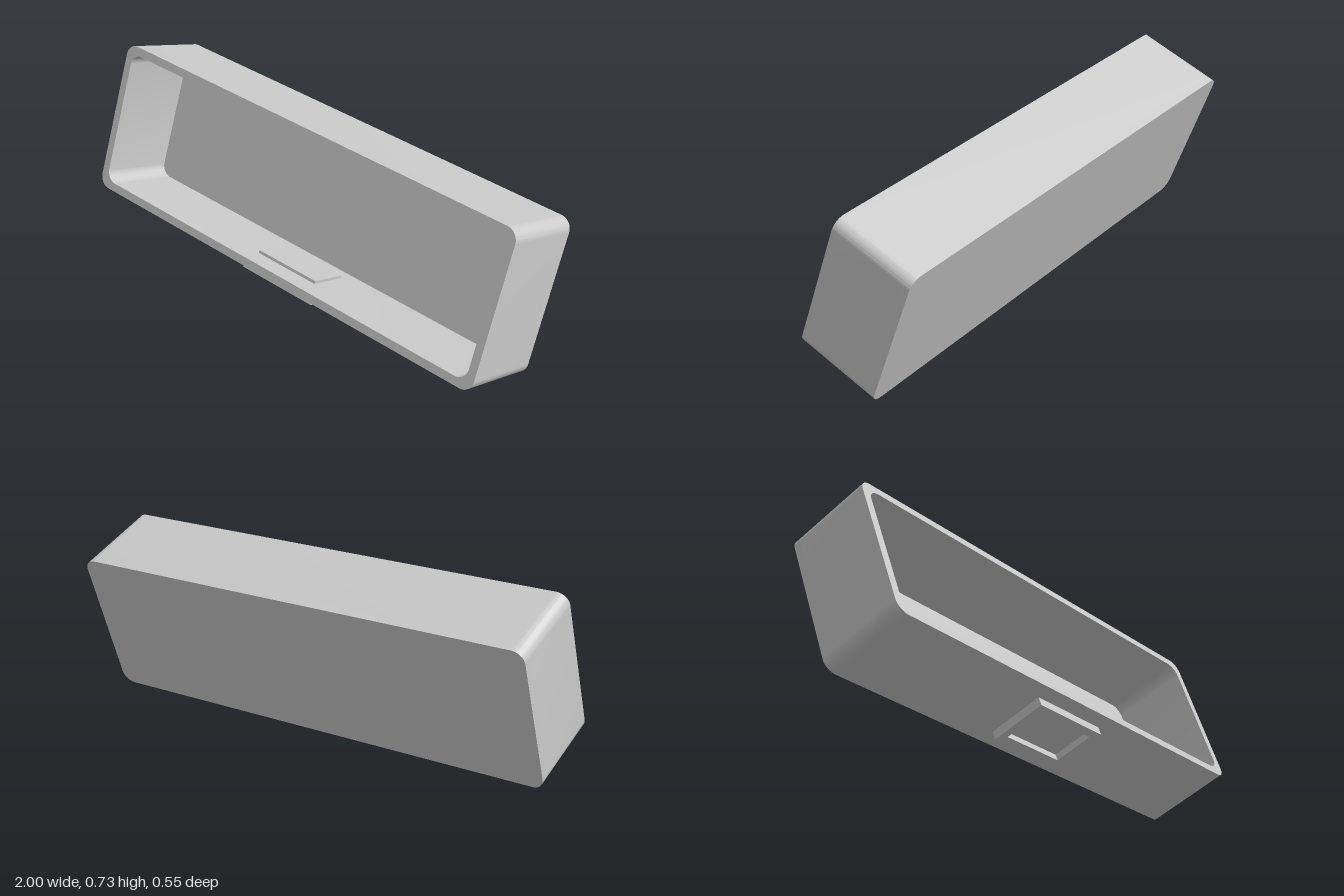
import * as THREE from 'three';
import { toCreasedNormals } from 'three/addons/utils/BufferGeometryUtils.js';

const material = new THREE.MeshStandardMaterial({ color: 0xcccccc });

// Rectangle centred on the origin, with corner radius r
function roundedRect(target, w, h, r) {
  const x = w / 2, y = h / 2;
  target.moveTo(-x + r, -y);
  target.lineTo(x - r, -y);
  if (r) target.absarc(x - r, -y + r, r, -Math.PI / 2, 0);
  target.lineTo(x, y - r);
  if (r) target.absarc(x - r, y - r, r, 0, Math.PI / 2);
  target.lineTo(-x + r, y);
  if (r) target.absarc(-x + r, y - r, r, Math.PI / 2, Math.PI);
  target.lineTo(-x, -y + r);
  if (r) target.absarc(-x + r, -y + r, r, Math.PI, Math.PI * 1.5);
  return target;
}

// Extruded rounded rectangle, optionally with a rounded opening
function slab(name, outer, inner, depth) {
  const shape = roundedRect(new THREE.Shape(), ...outer);
  if (inner) shape.holes.push(roundedRect(new THREE.Path(), ...inner));
  const geometry = new THREE.ExtrudeGeometry(shape, { depth, bevelEnabled: false, curveSegments: 10 });
  const mesh = new THREE.Mesh(toCreasedNormals(geometry, 0.5), material);
  mesh.name = name;
  return mesh;
}

export function createModel() {
  const W = 2, H = 0.631, D = 0.357, wall = 0.034, back = 0.03, r = 0.05;
  const housing = new THREE.Group();
  housing.name = 'tiltedHousing';

  // Open-fronted shell: wall ring and back panel
  const walls = slab('outerWalls', [W, H, r], [W - 2 * wall, H - 2 * wall, r], D - back);
  walls.position.z = -D / 2 + back;
  const panel = slab('backPanel', [W, H, r], null, back);
  panel.position.z = -D / 2;
  housing.add(walls, panel);

  // Rectangular collar under the floor
  const collarHeight = 0.036;
  const collar = slab('bottomCollar', [0.37, 0.236, 0], [0.304, 0.164, 0], collarHeight);
  collar.rotation.x = Math.PI / 2;
  collar.position.y = -H / 2;
  housing.add(collar);

  // Insert passing through the floor, recessed in the collar and proud inside
  const top = -H / 2 + wall + 0.012, bottom = -H / 2 - 0.009;
  const insert = new THREE.Mesh(new THREE.BoxGeometry(0.304, top - bottom, 0.164), material);
  insert.name = 'floorInsert';
  insert.position.y = (top + bottom) / 2;
  housing.add(insert);

  // Lean the whole housing back
  housing.rotation.x = -THREE.MathUtils.degToRad(20);
  housing.position.y = 0.3725;

  const model = new THREE.Group();
  model.name = 'openTiltedBox';
  model.add(housing);
  return model;
}
